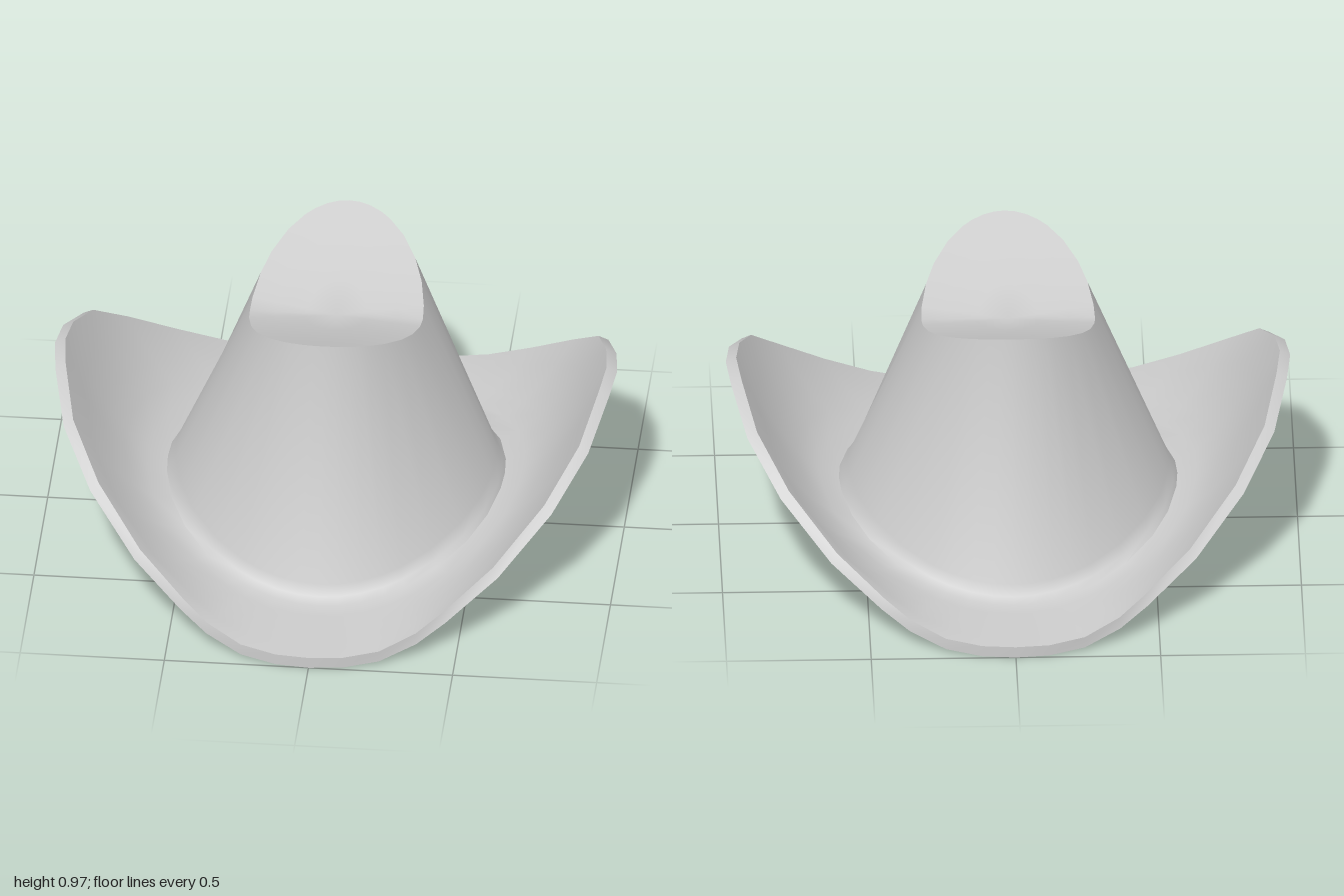
import * as THREE from 'three';
import { toCreasedNormals } from 'three/addons/utils/BufferGeometryUtils.js';

const THICK = 0.04;
const SHIFT = -0.015; // the crown sits slightly towards the back

// One quarter of the brim's lower edge, from the side round to the front: x, y, z
const EDGE = [
  [0.975, 0.635, 0], [0.96, 0.62, 0.14], [0.91, 0.53, 0.365], [0.8, 0.39, 0.55], [0.63, 0.23, 0.725],
  [0.46, 0.11, 0.84], [0.364, 0.055, 0.9], [0.24, 0.012, 0.955], [0.116, 0, 0.988], [0, 0, 1],
];
const STEPS = [0, 0.2, 0.43, 0.63, 0.81, 1]; // rings from head opening to brim edge

// Saddle height of the crown top, low in the middle and high at front and back
const saddle = (z) => 0.8 + 0.17 * Math.pow(Math.abs(z) / 0.47, 1.3);

// Cross-section of the felt in one direction: inside of crown, under brim, over brim, outside of crown
function section(x, y, z) {
  const a = Math.atan2(z, x / 0.975);
  const c = Math.cos(a), s = Math.sin(a);
  const low = 0.15 * c * c;
  const at = (rx, rz, h) => new THREE.Vector3(rx * c, h, rz * s + SHIFT);
  const top = (k, drop, inset) => {
    const rx = (0.3 - inset) * k, rz = (0.47 - inset) * k;
    return at(rx, rz, saddle(rz * s) - drop);
  };

  const base = at(0.6, 0.68, low);
  const under = STEPS.map((t) => new THREE.Vector3(
    THREE.MathUtils.lerp(base.x, x, t),
    THREE.MathUtils.lerp(base.y, y, Math.pow(t, 1.7)),
    THREE.MathUtils.lerp(base.z, z, t)));

  // Upper brim surface: the lower one moved along its slope's normal
  const over = under.map((p, i) => {
    const d = under[Math.min(i + 1, under.length - 1)].clone().sub(under[Math.max(i - 1, 0)]);
    const run = Math.hypot(d.x, d.z);
    const n = new THREE.Vector3(-d.x / run * d.y, run, -d.z / run * d.y).normalize();
    return p.clone().addScaledVector(n, THICK);
  }).reverse();

  const inner = [0, 0.35, 0.7, 1].map((k) => top(k, 0.03, 0.03));
  const outer = [1, 0.7, 0.35, 0].map((k) => top(k, 0, 0));
  return [
    ...inner, at(0.535, 0.6, low + 0.06), at(0.565, 0.64, low + 0.015),
    ...under, ...over,
    at(0.575, 0.645, low + 0.055), at(0.555, 0.62, low + 0.09), ...outer,
  ];
}

// Lofts the sections round the hat into a closed skin, row band by row band
function loft(columns) {
  const n = columns.length, rows = columns[0].length;
  const positions = [], index = [];
  for (let i = 0; i < rows; i++) {
    for (let j = 0; j < n; j++) {
      positions.push(...columns[j][i].toArray());
      if (i === rows - 1) continue;
      const k = (j + 1) % n;
      const p = i * n + j, q = p + n, r = i * n + k, t = r + n;
      index.push(p, q, r, q, t, r);
    }
  }
  const geometry = new THREE.BufferGeometry();
  geometry.setAttribute('position', new THREE.Float32BufferAttribute(positions, 3));
  geometry.setIndex(index);
  return toCreasedNormals(geometry, 0.8);
}

// Keeps only the given ranges of triangle corners, so shading runs on across the seam
function pick(source, ranges) {
  const geometry = new THREE.BufferGeometry();
  for (const name of ['position', 'normal']) {
    const all = Array.from(source.getAttribute(name).array);
    const part = ranges.flatMap(([from, to]) => all.slice(from * 3, to * 3));
    geometry.setAttribute(name, new THREE.Float32BufferAttribute(part, 3));
  }
  return geometry;
}

export function createModel() {
  const group = new THREE.Group();
  group.name = 'wideBrimHat';
  const material = new THREE.MeshStandardMaterial({ color: 0xcccccc });

  // Mirror the quarter edge into the full round
  const last = EDGE.length - 1;
  const columns = [];
  for (let quarter = 0; quarter < 4; quarter++) {
    const sx = quarter === 1 || quarter === 2 ? -1 : 1;
    const sz = quarter >= 2 ? -1 : 1;
    for (let r = 0; r < last; r++) {
      const [x, y, z] = EDGE[quarter % 2 ? last - r : r];
      columns.push(section(x * sx, y, z * sz));
    }
  }

  const skin = loft(columns);
  const band = columns.length * 6;
  const total = skin.getAttribute('position').count;
  const start = 5 * band;
  const end = total - 5 * band;

  const brim = new THREE.Mesh(pick(skin, [[start, end]]), material);
  brim.name = 'brim';
  const crown = new THREE.Mesh(pick(skin, [[0, start], [end, total]]), material);
  crown.name = 'crown';
  group.add(brim, crown);
  return group;
}
